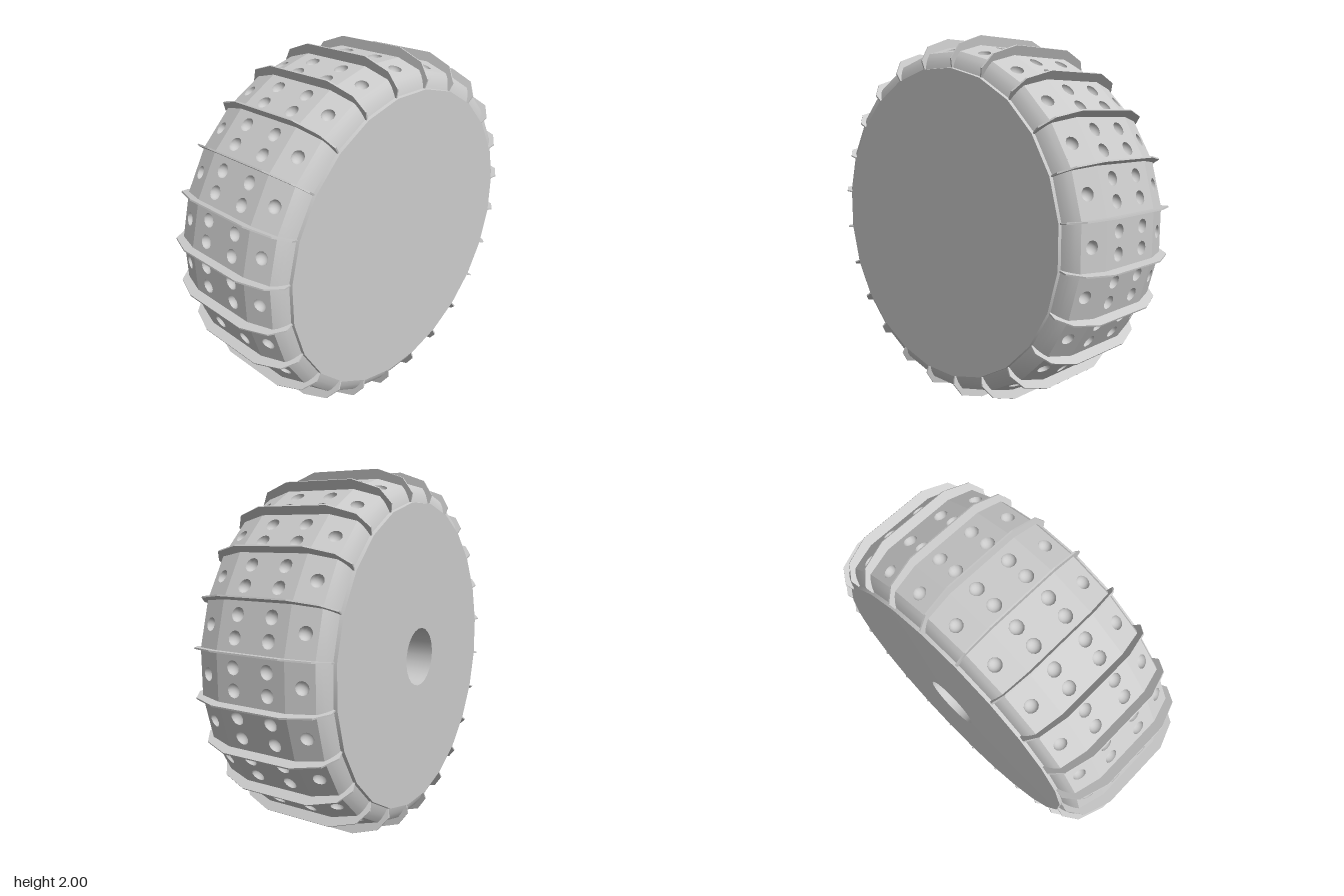
import * as THREE from 'three';
import { mergeGeometries } from 'three/addons/utils/BufferGeometryUtils.js';

const SEGMENTS = 24;
const STEP = (Math.PI * 2) / SEGMENTS;
const TREAD = 0.95, SHOULDER = 0.91; // flat-to-centre distances
const TREAD_X = 0.2, SHOULDER_X = 0.34; // half widths
const half = (r) => r * Math.tan(STEP / 2);
const corner = (r) => r / Math.cos(STEP / 2);

const material = new THREE.MeshStandardMaterial({ color: 0xcccccc, side: THREE.DoubleSide });

// Flat panel with round pits, laid flat facing +y (x across the tread, z around it)
function pittedPanel(outline, pits, radius) {
  const shape = new THREE.Shape(outline.map(([x, y]) => new THREE.Vector2(x, y)));
  const parts = [];
  for (const [x, y] of pits) {
    shape.holes.push(new THREE.Path().absarc(x, y, radius, 0, Math.PI * 2, true));
    const bowl = new THREE.SphereGeometry(radius, 12, 5, 0, Math.PI * 2, Math.PI / 2, Math.PI / 2);
    parts.push(bowl.rotateX(Math.PI / 2).translate(x, y, 0));
  }
  parts.push(new THREE.ShapeGeometry(shape, 6));
  return mergeGeometries(parts).rotateX(-Math.PI / 2);
}

// One tread block: centre panel with four pits, sloping shoulder panels with one each
function treadBlock() {
  const w = half(TREAD), s = half(SHOULDER);
  const run = SHOULDER_X - TREAD_X, drop = TREAD - SHOULDER;
  const length = Math.hypot(run, drop);
  const centre = pittedPanel(
    [[-TREAD_X, -w], [TREAD_X, -w], [TREAD_X, w], [-TREAD_X, w]],
    [[-0.1, -0.055], [0.1, -0.055], [-0.1, 0.055], [0.1, 0.055]], 0.036
  ).translate(0, TREAD, 0);
  const shoulder = pittedPanel([[0, -w], [length, -s], [length, s], [0, w]], [[0.083, 0]], 0.034)
    .rotateZ(-Math.atan2(drop, run)).translate(TREAD_X, TREAD, 0);
  return mergeGeometries([centre, shoulder, shoulder.clone().rotateY(Math.PI)]);
}

// Thin cross-tread plate that stands above the blocks
function finGeometry() {
  const right = [[0.385, 0.83], [0.398, 0.88], [0.345, 0.957], [0.2, 1.008]];
  const left = right.map(([x, y]) => [-x, y]).reverse();
  const shape = new THREE.Shape([...right, ...left].map(([x, y]) => new THREE.Vector2(x, y)));
  return new THREE.ExtrudeGeometry(shape, { depth: 0.008, bevelEnabled: false }).translate(0, 0, -0.004);
}

// Turned part about the x axis; profile points are [radius, x]
function turned(profile) {
  const points = profile.map(([r, x]) => new THREE.Vector2(corner(r), x));
  return new THREE.LatheGeometry(points, SEGMENTS, STEP / 2).rotateZ(-Math.PI / 2);
}

export function createModel() {
  const model = new THREE.Group();
  const wheel = new THREE.Group();
  wheel.name = 'wheel';
  wheel.position.y = 1;
  model.add(wheel);

  const add = (name, geometry) => {
    const mesh = new THREE.Mesh(geometry, material);
    mesh.name = name;
    wheel.add(mesh);
    return mesh;
  };

  // Tread blocks and the fins between them
  const block = treadBlock(), fin = finGeometry();
  for (let i = 0; i < SEGMENTS; i++) {
    add('treadBlock', block).rotation.x = i * STEP;
    add('treadFin', fin).rotation.x = (i + 0.5) * STEP;
  }

  // Sidewalls falling from the shoulder to the rim, and the rim edge standing out of them
  const wall = [[SHOULDER, SHOULDER_X], [0.89, 0.355], [0.868, 0.366], [0.845, 0.374], [0.828, 0.378]];
  const edge = [[0.828, 0.378], [0.825, 0.396]];
  const mirrored = (profile) => profile.map(([r, x]) => [r, -x]);
  add('leftSidewall', turned(wall));
  add('rightSidewall', turned(mirrored(wall)));
  add('leftRimEdge', turned(edge));
  add('rightRimEdge', turned(mirrored(edge)));

  // Closed flat face on the +x side
  add('outerCap', turned([[0.825, 0.396], [0, 0.396]]));

  // Flat face on the -x side with the axle hole
  add('innerCap', turned([[0.825, -0.396], [0.158, -0.398]]));
  add('axleHole', turned([[0.158, -0.398], [0.15, 0.05]]));
  add('axleHoleEnd', turned([[0.15, 0.05], [0, 0.05]]));

  return model;
}
